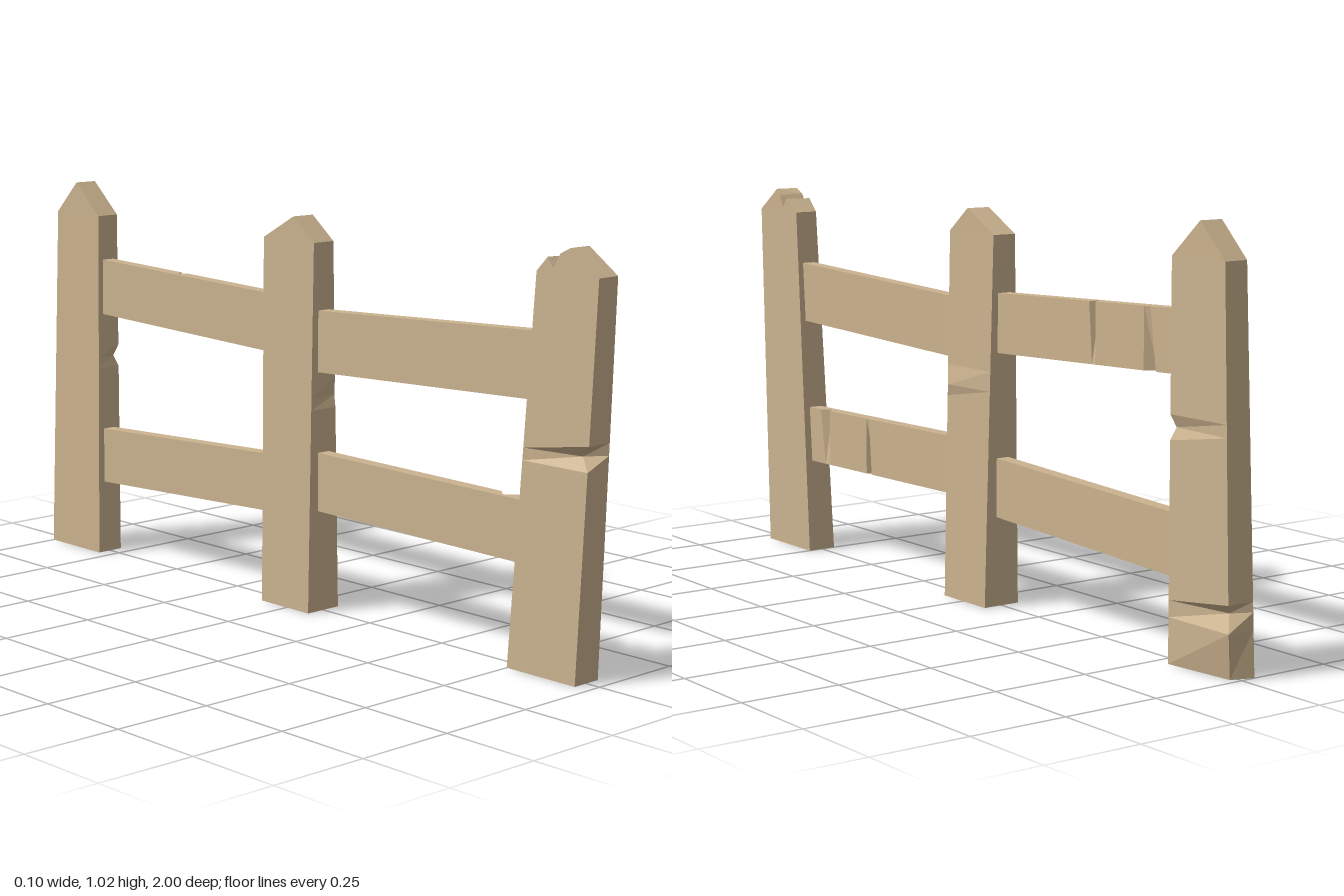
import * as THREE from 'three';

const wood = new THREE.MeshStandardMaterial({ color: 0xcbb38f, side: THREE.DoubleSide });
wood.name = 'weathered wood';

const lerp = THREE.MathUtils.lerp;

function quad(out, a, b, c, d) {
  out.push(...a, ...b, ...c, ...a, ...c, ...d);
}

// Skin a list of four-cornered rings
function loft(out, rings) {
  for (let r = 0; r + 1 < rings.length; r++) {
    for (let i = 0; i < 4; i++) {
      const j = (i + 1) % 4;
      quad(out, rings[r][i], rings[r][j], rings[r + 1][j], rings[r + 1][i]);
    }
  }
}

function makeMesh(name, positions) {
  const geo = new THREE.BufferGeometry();
  geo.setAttribute('position', new THREE.Float32BufferAttribute(positions, 3));
  geo.computeVertexNormals();
  const mesh = new THREE.Mesh(geo, wood);
  mesh.name = name;
  return mesh;
}

// Tapered post, open underneath. base/top = [front z, back z, half width].
// chips = [y, corner, dx, dz]; corners: 0 +x+z, 1 +x-z, 2 -x-z, 3 -x+z
// roof = [z, y, shift of z on the -x side] from front to back
function post(name, { base, top, chips = [], roof }) {
  const shoulder = 0.94;
  const out = [];
  const levels = [...new Set([0, ...chips.map((c) => c[0]), shoulder])].sort((a, b) => a - b);
  loft(out, levels.map((y) => {
    const [zf, zb, w] = base.map((v, i) => lerp(v, top[i], y / shoulder));
    const ring = [[w, y, zf], [w, y, zb], [-w, y, zb], [-w, y, zf]];
    for (const [cy, corner, dx, dz] of chips) {
      if (cy === y) {
        ring[corner][0] += dx;
        ring[corner][2] += dz;
      }
    }
    return ring;
  }));

  // Pointed top with gable sides
  const w = top[2];
  const profile = [[top[0], shoulder, 0], ...roof, [top[1], shoulder, 0]];
  for (let k = 0; k + 1 < profile.length; k++) {
    const [za, ya, sa] = profile[k];
    const [zb, yb, sb] = profile[k + 1];
    const a = [w, ya, za], b = [w, yb, zb];
    const c = [-w, yb, zb + sb], d = [-w, ya, za + sa];
    quad(out, a, b, c, d);
    quad(out, [w, shoulder, za], [w, shoulder, zb], b, a);
    quad(out, [-w, shoulder, zb + sb], [-w, shoulder, za + sa], d, c);
  }
  return makeMesh(name, out);
}

// Rail between [z, bottom y, top y] ends; splits = [z, half width, 'top' | 'bottom', reach]
function rail(name, start, end, splits) {
  const t = 0.018;
  const out = [];
  const stations = [[start[0]], [end[0]]];
  for (const s of splits) stations.push([s[0] - s[1]], s, [s[0] + s[1]]);
  stations.sort((a, b) => a[0] - b[0]);
  loft(out, stations.map(([z, , edge]) => {
    const f = (z - start[0]) / (end[0] - start[0]);
    const lo = lerp(start[1], end[1], f);
    const hi = lerp(start[2], end[2], f);
    const ring = [[t, lo, z], [t, hi, z], [-t, hi, z], [-t, lo, z]];
    if (edge) ring[edge === 'top' ? 1 : 0][0] -= 0.024;
    return ring;
  }));
  return makeMesh(name, out);
}

export function createModel() {
  const fence = new THREE.Group();
  fence.name = 'fence';

  fence.add(
    // Leaning front post with a split top and a chipped front corner
    post('frontPost', {
      base: [0.96, 0.75, 0.04],
      top: [1.0, 0.815, 0.032],
      chips: [[0.5, 3, 0, 0], [0.53, 3, 0.022, -0.035], [0.56, 3, 0, 0]],
      roof: [[0.915, 1.0, 0], [0.9, 0.985, -0.015], [0.885, 0.95, -0.02], [0.868, 0.975, -0.02]],
    }),
    // Middle post with a bulging crack
    post('middlePost', {
      base: [0.08, -0.095, 0.052],
      top: [0.08, -0.105, 0.033],
      chips: [[0.52, 0, 0, 0], [0.55, 0, 0.008, -0.012], [0.6, 0, 0, 0]],
      roof: [[0.005, 1.0, 0]],
    }),
    // Leaning back post with a broken foot
    post('backPost', {
      base: [-0.79, -1.0, 0.038],
      top: [-0.78, -0.96, 0.032],
      chips: [[0, 1, -0.02, 0.02], [0.11, 1, 0, 0], [0.15, 1, -0.025, 0.025], [0.175, 1, 0, 0],
        [0.52, 0, 0, 0], [0.55, 0, -0.012, -0.008], [0.58, 0, 0, 0]],
      roof: [[-0.875, 1.025, 0]],
    }),
    // Rails, some split on the outer side
    rail('upperFrontRail', [0, 0.612, 0.767], [0.84, 0.642, 0.802], []),
    rail('lowerFrontRail', [0, 0.261, 0.411], [0.82, 0.25, 0.4],
      [[0.48, 0.012, 'bottom'], [0.697, 0.023, 'top']]),
    rail('upperBackRail', [-0.85, 0.672, 0.822], [0, 0.642, 0.792],
      [[-0.69, 0.022, 'bottom'], [-0.478, 0.012, 'top']]),
    rail('lowerBackRail', [-0.85, 0.197, 0.347], [0, 0.234, 0.384], []),
  );
  return fence;
}
